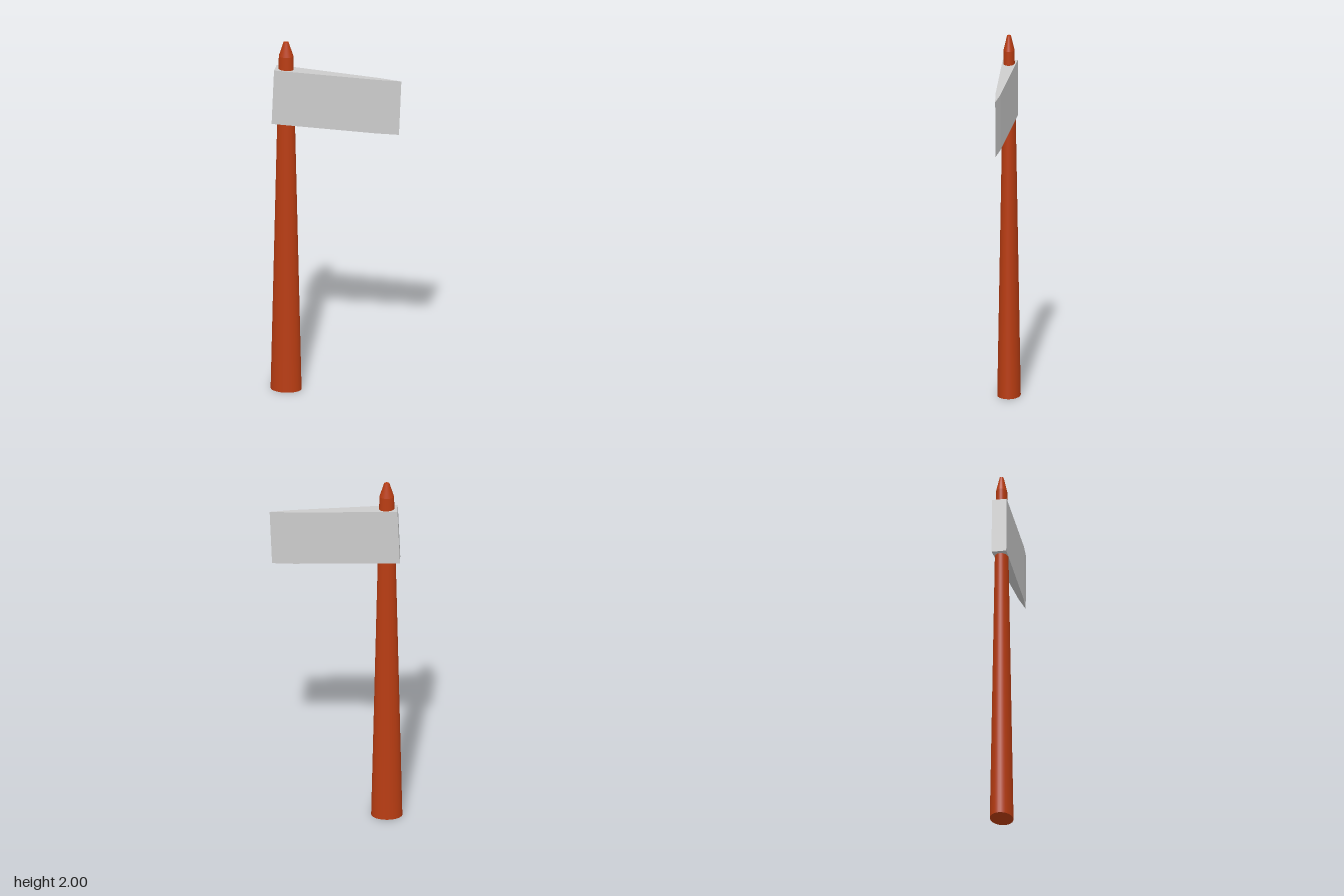
import * as THREE from 'three';

export function createModel() {
  const group = new THREE.Group();
  const wood = new THREE.MeshStandardMaterial({ color: 0xb83c12 });
  const steel = new THREE.MeshStandardMaterial({ color: 0xcccccc, flatShading: true });

  // Tapered handle sections with an oval cross-section
  const handle = new THREE.Group();
  handle.name = 'handle';
  handle.position.x = -0.271;
  const section = (name, rBottom, rTop, y0, y1) => {
    const geometry = new THREE.CylinderGeometry(rTop, rBottom, y1 - y0, 32);
    geometry.scale(1, 1, 0.75).translate(0, (y0 + y1) / 2, 0);
    const mesh = new THREE.Mesh(geometry, wood);
    mesh.name = name;
    handle.add(mesh);
  };
  section('shaft', 0.083, 0.039, 0, 1.92);
  section('handleTip', 0.039, 0.014, 1.92, 2);
  group.add(handle);

  // Wedge-shaped blade: plan outline extruded upward, then tilted slightly
  const plan = new THREE.Shape([
    [0, -0.04], [0.565, -0.0135], [0.682, 0], [0.565, 0.0135], [0, 0.04],
  ].map(([x, y]) => new THREE.Vector2(x, y)));
  const bladeGeometry = new THREE.ExtrudeGeometry(plan, { depth: 0.31, bevelEnabled: false });
  bladeGeometry.rotateX(-Math.PI / 2);
  const blade = new THREE.Mesh(bladeGeometry, steel);
  blade.name = 'blade';
  blade.rotation.z = -0.042;
  blade.position.set(-0.342, 1.538, 0);
  group.add(blade);

  return group;
}
